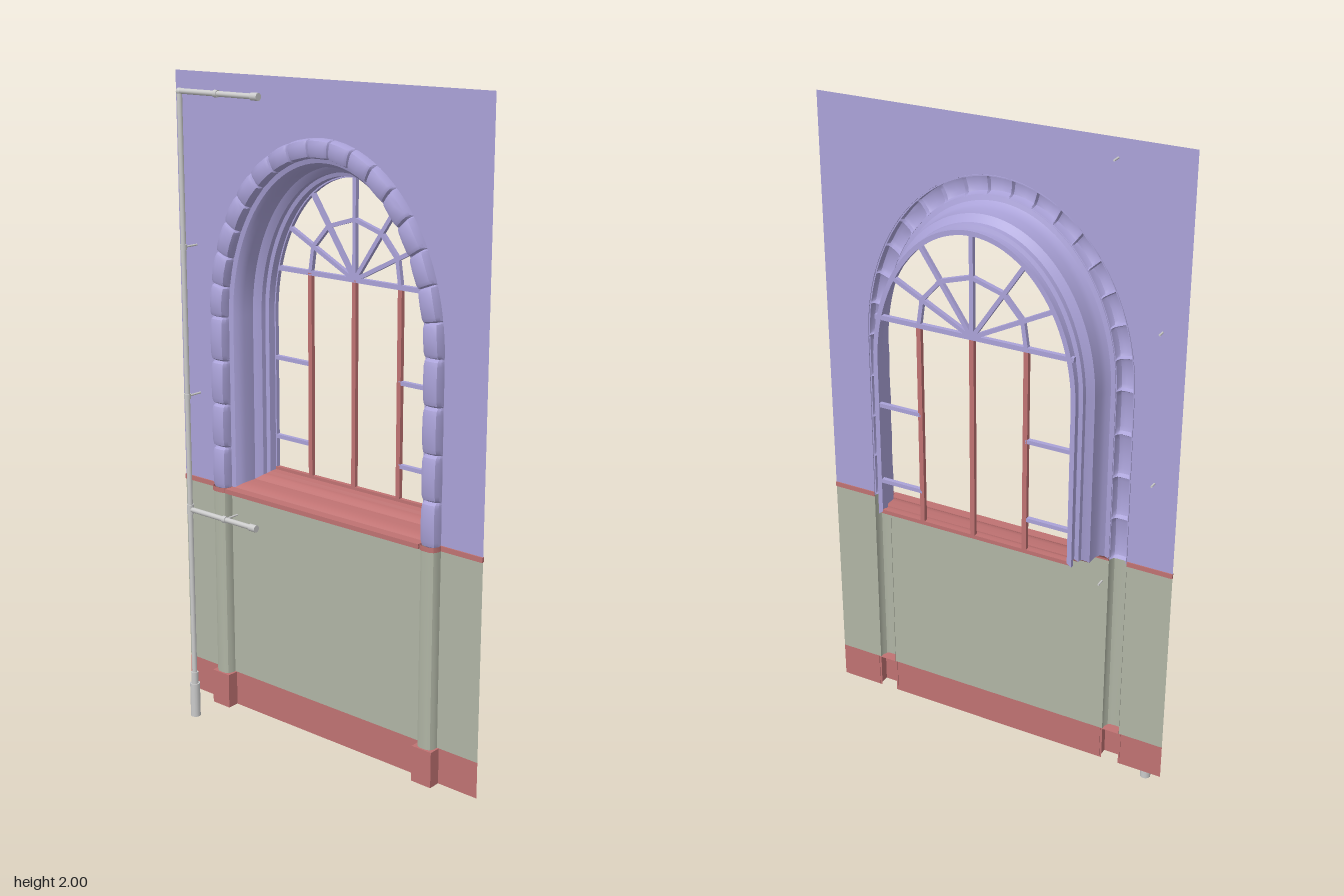
import * as THREE from 'three';
import { toCreasedNormals } from 'three/addons/utils/BufferGeometryUtils.js';

const mat = (color) => new THREE.MeshStandardMaterial({ color, side: THREE.DoubleSide });
const purple = mat(0xaaa2d8), green = mat(0xb0b5a5), red = mat(0xbf7272), grey = mat(0xcccccc);

const WALL_Z = 0.035, SPRING = 1.3, BASE = 0.77, OUTER = 0.42, INNER = 0.365;

// Sill height rises as the opening narrows
const sillY = (a) => BASE + Math.max(0, INNER - a) * 0.72;

// Point on the stilted elliptical arch of half width a; |t| <= 1 is the curve, 1..2 the straight jambs
function archPoint(t, a) {
  const q = Math.abs(t), side = Math.sign(t);
  if (q > 1) return [side * a, SPRING - (q - 1) * (SPRING - sillY(a))];
  const ang = (1 - q) * Math.PI / 2;
  return [side * a * Math.cos(ang), SPRING + (a + 0.125) * Math.sin(ang)];
}

// Surface from rows x cols points given by fn(row, col)
function sheet(rows, cols, fn, crease = 0.6) {
  const pos = [], idx = [];
  for (let i = 0; i < rows; i++) for (let j = 0; j < cols; j++) pos.push(...fn(i, j));
  for (let i = 0; i < rows - 1; i++) for (let j = 0; j < cols - 1; j++) {
    const a = i * cols + j, b = a + cols;
    idx.push(a, b, a + 1, b, b + 1, a + 1);
  }
  const g = new THREE.BufferGeometry();
  g.setAttribute('position', new THREE.Float32BufferAttribute(pos, 3));
  g.setIndex(idx);
  return toCreasedNormals(g, crease);
}

// Sweep a profile of [halfWidth, z] around the arch
function archSweep(profile, ts) {
  return sheet(ts.length, profile.length, (i, j) => {
    const [a, z] = profile[j];
    return [...archPoint(ts[i], a), z];
  });
}

export function createModel() {
  const model = new THREE.Group();
  const add = (name, geo, material, parent = model) => {
    const m = new THREE.Mesh(geo, material);
    m.name = name;
    parent.add(m);
    return m;
  };
  const box = (name, x0, x1, y0, y1, z0, z1, material) => {
    const m = add(name, new THREE.BoxGeometry(x1 - x0, y1 - y0, z1 - z0), material);
    m.position.set((x0 + x1) / 2, (y0 + y1) / 2, (z0 + z1) / 2);
  };
  const panel = (name, x0, x1, y0, y1, material) => {
    const m = add(name, new THREE.PlaneGeometry(x1 - x0, y1 - y0), material);
    m.position.set((x0 + x1) / 2, (y0 + y1) / 2, WALL_Z);
  };
  // Square bar between two points in the window plane
  const bar = (name, x0, y0, x1, y1, material, w = 0.014) => {
    const m = add(name, new THREE.BoxGeometry(Math.hypot(x1 - x0, y1 - y0), w, 0.013), material);
    m.position.set((x0 + x1) / 2, (y0 + y1) / 2, -0.103);
    m.rotation.z = Math.atan2(y1 - y0, x1 - x0);
  };

  const ts = [-2];
  for (let i = 0; i <= 48; i++) ts.push(-1 + i / 24 + (i === 24 ? 1e-6 : 0));
  ts.push(2);

  // Upper wall cut by the arch
  const wall = new THREE.Shape();
  wall.moveTo(-0.56, BASE);
  for (const t of ts) wall.lineTo(...archPoint(t, OUTER - 0.004));
  wall.lineTo(0.56, BASE);
  wall.lineTo(0.56, 2);
  wall.lineTo(-0.56, 2);
  add('upperWall', new THREE.ShapeGeometry(wall), purple).position.z = WALL_Z;

  // Lower wall and skirting, left open behind the pilasters
  for (const [x0, x1] of [[-0.56, -OUTER], [-INNER, INNER], [OUTER, 0.56]]) {
    panel('lowerWall', x0, x1, 0.17, BASE, green);
    panel('skirting', x0, x1, 0.06, 0.17, red);
  }

  // Surround of bulging blocks, pinched at every joint
  const rows = [];
  const joints = [];
  for (let i = 0; i <= 4; i++) joints.push(-2 + i / 4);
  for (let i = 1; i <= 17; i++) joints.push(-1 + (2 * i) / 17);
  for (let i = 1; i <= 4; i++) joints.push(1 + i / 4);
  for (let i = 0; i < joints.length - 1; i++)
    for (const [f, swell] of [[0, 0], [0.05, 0.65], [0.15, 0.88], [0.5, 1], [0.85, 0.88], [0.95, 0.65]])
      rows.push([joints[i] + (joints[i + 1] - joints[i]) * f, swell]);
  rows.push([2, 0]);
  const blockProfile = [[1, 0], [1, 0.5], [0.82, 0.88], [0.4, 1], [-0.4, 1], [-0.82, 0.88], [-1, 0.5], [-1, 0]];
  add('archBlocks', sheet(rows.length, blockProfile.length, (i, j) => {
    const [t, swell] = rows[i], [u, d] = blockProfile[j];
    const a = (OUTER + INNER) / 2 + u * (d === 0 ? 0.0275 : 0.0235 + 0.004 * swell);
    return [...archPoint(t || 1e-6, a), WALL_Z - 0.003 + d * (0.018 + 0.017 * swell)];
  }), purple);

  // Stepped reveal and the sill sharing its profile
  const reveal = [[0.367, 0.035], [0.352, 0.03], [0.343, 0.018], [0.338, 0], [0.337, -0.038], [0.328, -0.045],
    [0.318, -0.055], [0.317, -0.07], [0.306, -0.074], [0.304, -0.1]];
  add('reveal', archSweep(reveal, ts), purple);
  const sill = [[INNER, 0.064], ...reveal];
  add('sill', sheet(2, sill.length, (i, j) =>
    [(i ? 1 : -1) * sill[j][0], sillY(sill[j][0]), sill[j][1]]), red);
  box('sillLip', -INNER, INNER, 0.764, 0.778, WALL_Z, 0.066, red);

  // Pilasters with plinths and capping trim
  const pilasterProfile = [[-1, 0], [-1, 0.5], [-0.8, 0.85], [-0.45, 1], [0.45, 1], [0.8, 0.85], [1, 0.5], [1, 0]];
  for (const s of [-1, 1]) {
    const cx = s * 0.3925;
    const strip = (y0, y1, w, d) => sheet(2, 8, (i, j) =>
      [cx + pilasterProfile[j][0] * w, i ? y1 : y0, WALL_Z - 0.002 + pilasterProfile[j][1] * d]);
    add('pilaster', strip(0.17, BASE, 0.0275, 0.033), green);
    const plinth = [[-1, 0], [-1, 1], [1, 1], [1, 0]];
    add('plinth', sheet(2, 4, (i, j) =>
      [cx + plinth[j][0] * 0.034, i ? 0.17 : 0.06, 0.033 + plinth[j][1] * 0.039], 0.3), red);
    add('plinthTop', new THREE.PlaneGeometry(0.068, 0.039).rotateX(-Math.PI / 2), red)
      .position.set(cx, 0.17, 0.0525);
    add('capTrim', strip(0.764, 0.779, 0.03, 0.036), red);
    box('wallTrim', s < 0 ? -0.56 : OUTER, s < 0 ? -OUTER : 0.56, 0.764, 0.779, 0.032, 0.039, red);
  }

  // Window frame, fanlight and glazing bars
  add('windowFrame', archSweep(
    [[0.314, -0.097], [0.3, -0.097], [0.3, -0.11], [0.314, -0.11], [0.314, -0.097]], ts), purple);
  const TRANSOM = 1.437;
  bar('bottomRail', -0.305, 0.817, 0.305, 0.817, red, 0.012);
  bar('transom', -0.305, TRANSOM, 0.305, TRANSOM, purple);
  const ring = [[-0.165, TRANSOM]];
  for (const deg of [153, 124, 90, 56, 27]) {
    const c = Math.cos(deg * Math.PI / 180), s = Math.sin(deg * Math.PI / 180);
    let r = 0.1;
    while (((r * c) / 0.307) ** 2 + ((TRANSOM - SPRING + r * s) / 0.432) ** 2 < 1) r += 0.002;
    bar('fanBar', 0, TRANSOM, r * c, TRANSOM + r * s, purple, 0.012);
    ring.push([0.172 * c, TRANSOM + 0.172 * s]);
  }
  ring.push([0.165, TRANSOM]);
  for (let i = 0; i < ring.length - 1; i++) bar('fanRing', ...ring[i], ...ring[i + 1], purple, 0.012);
  for (const x of [-0.165, 0, 0.165]) bar('mullion', x, 0.815, x, TRANSOM, red);
  for (const s of [-1, 1]) for (const y of [1.165, 0.92])
    bar('glazingBar', s * 0.165, y, s * 0.305, y, purple, 0.012);

  // Drain pipe with two branches, collars and wall pins
  const pipe = new THREE.Group();
  pipe.name = 'drainPipe';
  model.add(pipe);
  const PX = -0.49, PZ = 0.09;
  const tube = (name, from, to, r) => {
    const a = new THREE.Vector3(...from), d = new THREE.Vector3(...to).sub(a);
    const m = add(name, new THREE.CylinderGeometry(r, r, d.length(), 12), grey, pipe);
    m.position.copy(a).addScaledVector(d, 0.5);
    m.quaternion.setFromUnitVectors(new THREE.Vector3(0, 1, 0), d.normalize());
  };
  const upright = (name, y0, y1, r) => tube(name, [PX, y0, PZ], [PX, y1, PZ], r);
  upright('pipeFoot', 0, 0.112, 0.016);
  upright('footCollar', 0.112, 0.15, 0.0115);
  upright('uprightPipe', 0.1, 1.945, 0.008);
  upright('branchCollar', 0.677, 0.708, 0.011);
  for (const [y, end] of [[1.947, -0.185], [0.692, -0.215]]) {
    tube('branchPipe', [PX, y, PZ], [end, y, PZ], 0.008);
    tube('branchEnd', [end - 0.025, y, PZ], [end, y, PZ], 0.011);
    tube('branchClamp', [-0.352, y, PZ], [-0.338, y, PZ], 0.0105);
    tube('wallPin', [-0.345, y, PZ], [-0.345, y, 0.01], 0.003);
  }
  add('elbow', new THREE.SphereGeometry(0.0105, 12, 8), grey, pipe).position.set(PX, 1.946, PZ);
  for (const y of [1.5, 1.05]) {
    upright('uprightClamp', y - 0.008, y + 0.008, 0.0105);
    tube('wallPin', [PX, y, PZ], [PX, y, 0.015], 0.003);
  }
  return model;
}
